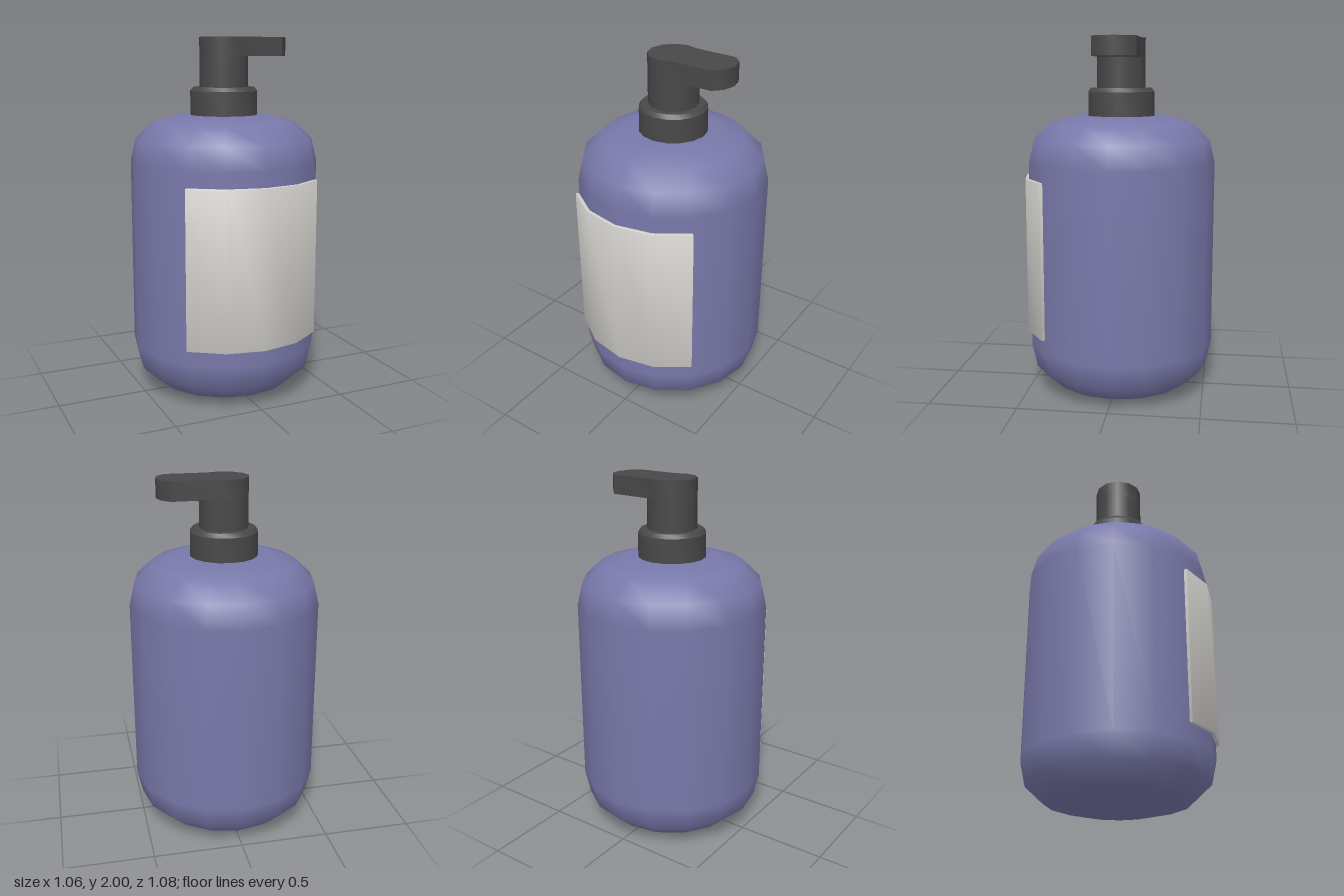
import * as THREE from 'three';
import { toCreasedNormals } from 'three/addons/utils/BufferGeometryUtils.js';

const flat = (hex, name) => {
  const m = new THREE.MeshStandardMaterial({ color: hex });
  m.name = name;
  return m;
};

// Extrudes a plan outline of [x, z] points upwards from y0 to y1
function extrudePlan(points, y0, y1, bevel) {
  const shape = new THREE.Shape(points.map(([x, z]) => new THREE.Vector2(x, -z)));
  const geo = new THREE.ExtrudeGeometry(shape, {
    depth: y1 - y0 - 2 * bevel,
    bevelEnabled: bevel > 0,
    bevelThickness: bevel,
    bevelSize: bevel,
    bevelOffset: -bevel,
    bevelSegments: 2,
  });
  geo.rotateX(-Math.PI / 2);
  geo.translate(0, y0 + bevel, 0);
  return toCreasedNormals(geo, 0.75);
}

const lathe = (profile, sides) =>
  new THREE.LatheGeometry(profile.map(([r, y]) => new THREE.Vector2(r, y)), sides);

export function createModel() {
  const blue = flat(0x7878aa, 'blue plastic');
  const dark = flat(0x484848, 'dark plastic');
  const pale = flat(0xd3d1cd, 'pale label');

  const group = new THREE.Group();
  group.name = 'pumpBottle';
  const add = (name, geo, mat) => {
    const mesh = new THREE.Mesh(geo, mat);
    mesh.name = name;
    mesh.position.z = -0.012;
    group.add(mesh);
  };

  // Rounded bottle body
  add('bottle', lathe([
    [0, 0], [0.26, 0.004], [0.4, 0.04], [0.5, 0.132], [0.53, 0.265],
    [0.53, 1.315], [0.5, 1.44], [0.4, 1.535], [0.26, 1.572], [0, 1.572],
  ], 16), blue);

  // Collar with a bevelled upper rim
  add('collar', toCreasedNormals(lathe([
    [0.188, 1.55], [0.188, 1.705], [0.172, 1.727], [0, 1.727],
  ], 16), 0.6), dark);

  // Pump stem
  const stem = new THREE.CylinderGeometry(0.137, 0.137, 0.19, 12, 1, true);
  stem.translate(0, 1.805, 0);
  add('stem', stem, dark);

  // Pump head: round over the stem, running out to a chamfered spout
  const outline = [];
  for (let i = 2; i <= 10; i++) {
    const a = (i * Math.PI) / 6;
    outline.push([0.137 * Math.cos(a), 0.137 * Math.sin(a)]);
  }
  outline.push([0.303, -0.119], [0.351, -0.07], [0.367, 0], [0.351, 0.07], [0.303, 0.119]);
  add('pumpHead', extrudePlan(outline, 1.896, 2, 0), dark);

  // Label wrapped around the front, following the facets of the body
  const arc = (r) => [-2, -1, 0, 1, 2].map((i) => {
    const a = (i * Math.PI) / 8;
    return [r * Math.sin(a), r * Math.cos(a)];
  });
  const band = [...arc(0.531), ...arc(0.551).reverse()];
  add('label', extrudePlan(band, 0.35, 1.23, 0.005), pale);

  return group;
}
